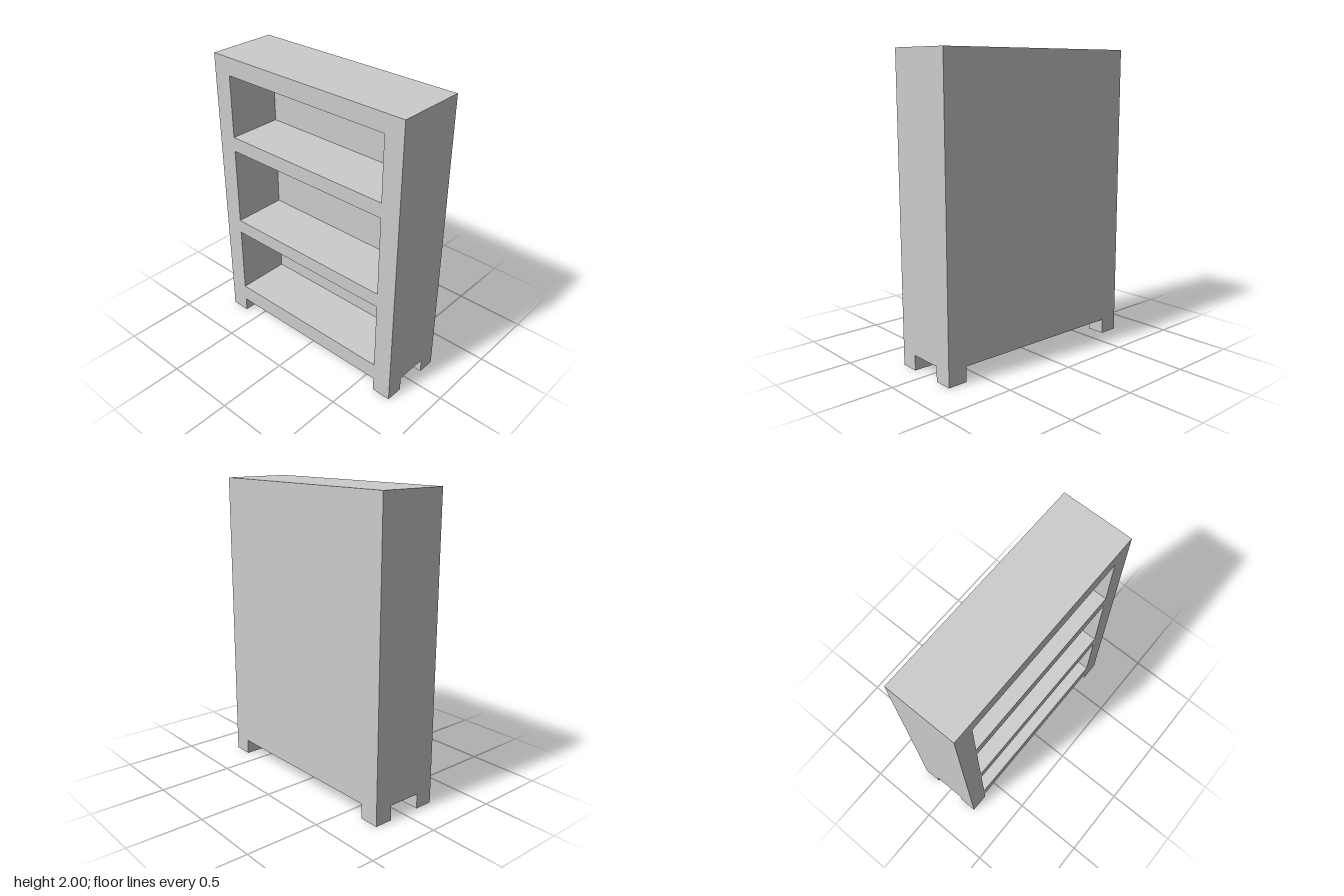
import * as THREE from 'three';

const W = 1.508, D = 0.475, H = 2;       // overall size
const LEG_H = 0.1, LEG_W = 0.132, LEG_D = 0.123;
const BACK = 0.093;                      // back panel thickness
const OPEN_X = 0.622;                    // half width of the openings
const OPENINGS = [[0.22, 0.704], [0.803, 1.35], [1.451, 1.88]];

// Closed rectangle as a list of corners
const rect = (x, y0, y1) => [[-x, y0], [x, y0], [x, y1], [-x, y1]].map(([a, b]) => new THREE.Vector2(a, b));

export function createModel() {
  const group = new THREE.Group();
  const material = new THREE.MeshStandardMaterial({ color: 0xcccccc, flatShading: true });
  const add = (name, geometry, x, y, z) => {
    const mesh = new THREE.Mesh(geometry, material);
    mesh.name = name;
    mesh.position.set(x, y, z);
    group.add(mesh);
  };

  // Sides, top and shelves: one frame with three openings
  const outline = new THREE.Shape(rect(W / 2, LEG_H, H));
  for (const [y0, y1] of OPENINGS) outline.holes.push(new THREE.Path(rect(OPEN_X, y0, y1)));
  const frame = new THREE.ExtrudeGeometry(outline, { depth: D - BACK, bevelEnabled: false });
  add('shelfFrame', frame, 0, 0, -D / 2 + BACK);

  // Solid back closing the compartments
  add('backPanel', new THREE.BoxGeometry(W, H - LEG_H, BACK), 0, (H + LEG_H) / 2, (BACK - D) / 2);

  // Four corner legs
  for (const [sx, side] of [[1, 'Left'], [-1, 'Right']]) {
    for (const [sz, end] of [[1, 'front'], [-1, 'back']]) {
      add(`${end}${side}Leg`, new THREE.BoxGeometry(LEG_W, LEG_H, LEG_D),
        sx * (W - LEG_W) / 2, LEG_H / 2, sz * (D - LEG_D) / 2);
    }
  }
  return group;
}
